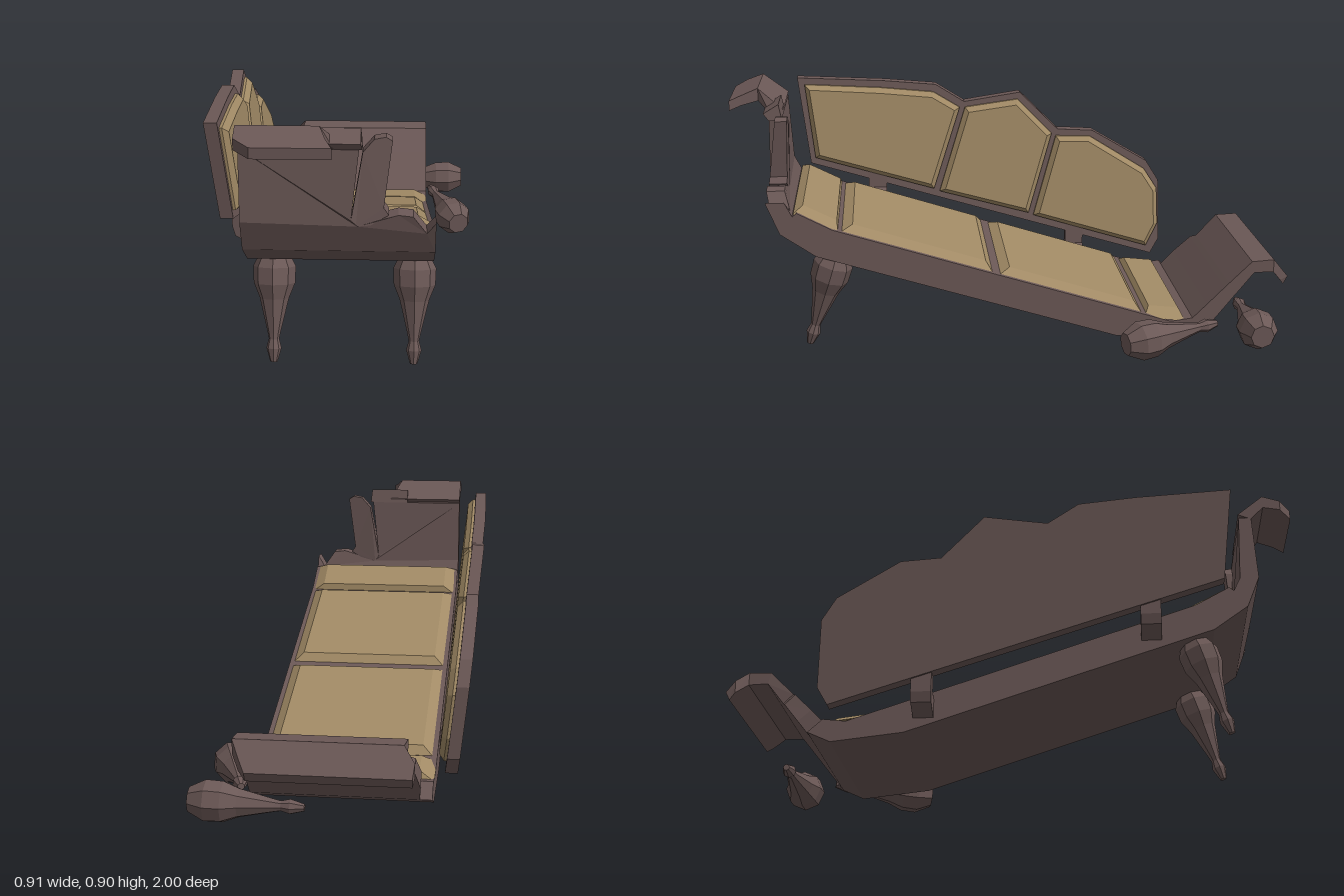
import * as THREE from 'three';

const wood = new THREE.MeshStandardMaterial({ color: 0x6b5856, flatShading: true });
const fabric = new THREE.MeshStandardMaterial({ color: 0xa18a65, flatShading: true });

function add(parent, name, geometry, material) {
  const mesh = new THREE.Mesh(geometry, material);
  mesh.name = name;
  parent.add(mesh);
  return mesh;
}

const shapeOf = (pts) => new THREE.Shape(pts.map(([x, y]) => new THREE.Vector2(x, y)));

// Move every vertex of a geometry by a rule
function warp(geometry, rule) {
  const p = geometry.attributes.position;
  const v = new THREE.Vector3();
  for (let i = 0; i < p.count; i++) {
    rule(v.fromBufferAttribute(p, i));
    p.setXYZ(i, v.x, v.y, v.z);
  }
  geometry.computeVertexNormals();
  return geometry;
}

// Side profile of [z, y] points, extruded along x
function sideExtrude(pts, x0, x1, bevel = 0) {
  const g = new THREE.ExtrudeGeometry(shapeOf(pts.map(([z, y]) => [-z, y])), {
    depth: x1 - x0 - bevel, bevelEnabled: bevel > 0, bevelThickness: bevel,
    bevelSize: bevel, bevelOffset: -bevel, bevelSegments: 1,
  });
  return g.rotateY(Math.PI / 2).translate(x0, 0, 0);
}

// Board through sections [outer z, outer y, inner z, inner y, x start, x end]
function strip(sections) {
  const pos = [], index = [];
  const back = sections[0][0] < 0;
  const quad = (a, b, c, d) => index.push(...(back ? [a, c, b, a, d, c] : [a, b, c, a, c, d]));
  sections.forEach(([zo, yo, zi, yi, x0, x1], i) => {
    pos.push(x0, yo, zo, x1, yo, zo, x1, yi, zi, x0, yi, zi);
    if (i === 0) return;
    const n = i * 4, m = n - 4;
    for (let j = 0; j < 4; j++) {
      const k = (j + 1) % 4;
      quad(m + j, m + k, n + k, n + j);
    }
  });
  const e = pos.length / 3 - 4;
  quad(3, 2, 1, 0);
  quad(e, e + 1, e + 2, e + 3);
  const g = new THREE.BufferGeometry();
  g.setAttribute('position', new THREE.Float32BufferAttribute(pos, 3));
  g.setIndex(index);
  g.computeVertexNormals();
  return g;
}

function buildFrame(group) {
  // Tilted seat base
  add(group, 'seatBase', sideExtrude([
    [0.82, 0.48], [0.7, 0.395], [-0.36, 0.053], [-0.61, 0.027], [-0.69, 0.064],
    [-0.64, 0.11], [-0.56, 0.1], [0.64, 0.49], [0.76, 0.555], [0.79, 0.53],
  ], -0.32, 0.28), wood);

  // Upright front end with a splintered edge
  const outerZ = (y) => (y < 0.59 ? 0.82 + (y - 0.48) * 0.41 : 0.865 - (y - 0.59) * 0.04);
  const wall = (pts, lean) => warp(
    new THREE.ExtrudeGeometry(shapeOf(pts), { depth: 1, bevelEnabled: false }),
    (v) => { v.z = outerZ(v.y) - (1 - v.z) * (0.075 - (v.y - 0.48) * 0.09) - lean * (v.y - 0.58); });
  add(group, 'frontEndPanel', wall([
    [-0.32, 0.48], [0.28, 0.48], [0.28, 0.595], [0.252, 0.555], [0.21, 0.615], [0.165, 0.62],
    [0.13, 0.61], [0.04, 0.58], [0.02, 0.6], [0.045, 0.83], [-0.32, 0.83], [-0.32, 0.59],
  ], 0), wood);
  add(group, 'frontSplinter', wall([
    [0.035, 0.58], [0.08, 0.585], [0.135, 0.618], [0.12, 0.64], [0.145, 0.845],
    [0.125, 0.857], [0.09, 0.85], [0.055, 0.81], [0.02, 0.6],
  ], 0.1), wood);

  // Curled top of the front end
  add(group, 'frontScroll', strip([
    [0.855, 0.825, 0.81, 0.845, -0.32, -0.03], [0.9, 0.87, 0.9, 0.915, -0.32, -0.07],
    [0.96, 0.858, 0.96, 0.894, -0.32, -0.05], [1, 0.845, 1, 0.88, -0.27, -0.03],
  ]), wood);
  add(group, 'frontScrollStump', strip([
    [0.855, 0.825, 0.81, 0.83, -0.1, 0.055], [0.875, 0.85, 0.82, 0.883, -0.1, 0.05],
  ]), wood);

  // Fallen back end with a jagged side
  add(group, 'backEndPanel', strip([
    [-0.61, 0.027, -0.58, 0.1, -0.32, 0.28], [-0.69, 0.064, -0.64, 0.11, -0.28, 0.28],
    [-0.735, 0.12, -0.69, 0.16, -0.285, 0.28], [-0.79, 0.19, -0.755, 0.226, -0.27, 0.28],
    [-0.803, 0.206, -0.77, 0.241, -0.24, 0.28], [-0.86, 0.278, -0.85, 0.32, -0.255, 0.28],
    [-0.93, 0.278, -0.93, 0.325, -0.25, 0.28], [-0.965, 0.235, -0.967, 0.28, -0.285, 0.255],
    [-0.985, 0.21, -1, 0.24, -0.28, 0.23],
  ]), wood);
}

// Pad with a narrower top, lying on the line between two [z, y] points
function seatPad(group, name, [z0, y0], [z1, y1], height, inset, endInset) {
  const length = Math.hypot(z1 - z0, y1 - y0);
  const g = warp(new THREE.BoxGeometry(0.6, height, length), (v) => {
    if (v.y > 0) {
      v.x -= Math.sign(v.x) * inset;
      v.z -= Math.sign(v.z) * endInset;
    }
  });
  const pad = add(group, name, g, fabric);
  pad.position.set(-0.02, (y0 + y1) / 2 + height / 2, (z0 + z1) / 2);
  pad.rotation.x = -Math.atan2(y1 - y0, z1 - z0);
}

function buildBackrest(group) {
  // Lean outwards with height above the sloping lower edge
  const lean = (g) => warp(g, (v) => { v.x -= 0.11 * (v.y - 0.55 - (v.z - 0.74) * 0.311); });
  add(group, 'backrestFrame', lean(sideExtrude([
    [0.78, 0.88], [0.45, 0.86], [0.25, 0.84], [0.14, 0.77], [-0.08, 0.8], [-0.23, 0.65],
    [-0.37, 0.64], [-0.59, 0.51], [-0.64, 0.43], [-0.645, 0.19], [-0.61, 0.13], [0.74, 0.55],
  ], -0.397, -0.355)), wood);
  const pads = [
    [[0.753, 0.855], [0.46, 0.835], [0.26, 0.813], [0.158, 0.75], [0.265, 0.433], [0.722, 0.572]],
    [[0.137, 0.75], [-0.07, 0.775], [-0.205, 0.636], [-0.11, 0.32], [0.243, 0.422]],
    [[-0.222, 0.625], [-0.357, 0.62], [-0.58, 0.48], [-0.632, 0.4], [-0.637, 0.255],
      [-0.59, 0.165], [-0.13, 0.31]],
  ];
  pads.forEach((p, i) => add(group, 'backrestPad' + (i + 1), lean(sideExtrude(p, -0.362, -0.328, 0.018)), fabric));

  // Brackets joining backrest and base
  for (const [y, z] of [[0.36, 0.45], [0.1, -0.33]]) {
    const g = new THREE.ExtrudeGeometry(shapeOf([
      [-0.39, 0.17], [-0.39, 0.07], [-0.38, 0.035], [-0.3, -0.008], [-0.3, 0.058],
      [-0.35, 0.085], [-0.356, 0.17],
    ]), { depth: 0.07, bevelEnabled: false });
    add(group, 'backrestBracket', g.translate(0, y, z), wood);
  }
}

// Turned leg running from its thin tip to its thick top
function leg(group, name, tip, top) {
  const profile = [[0, 0], [0.012, 0], [0.025, 0.045], [0.017, 0.075], [0.021, 0.095],
    [0.048, 0.21], [0.068, 0.26], [0.07, 0.315], [0.042, 0.37], [0, 0.37]];
  const mesh = add(group, name, new THREE.LatheGeometry(profile.map(([r, h]) => new THREE.Vector2(r, h)), 8), wood);
  const start = new THREE.Vector3(...tip);
  mesh.position.copy(start);
  mesh.quaternion.setFromUnitVectors(new THREE.Vector3(0, 1, 0),
    new THREE.Vector3(...top).sub(start).normalize());
}

export function createModel() {
  const group = new THREE.Group();
  group.name = 'brokenSofa';
  buildFrame(group);

  // Seat upholstery
  seatPad(group, 'seatPadFront', [0.07, 0.293], [0.62, 0.473], 0.035, 0.05, 0.045);
  seatPad(group, 'seatPadBack', [-0.47, 0.117], [0.07, 0.293], 0.035, 0.05, 0.045);
  seatPad(group, 'seatPadFrontEnd', [0.615, 0.472], [0.765, 0.55], 0.03, 0.05, 0.02);
  seatPad(group, 'seatPadBackEnd', [-0.615, 0.1], [-0.465, 0.118], 0.03, 0.05, 0.02);

  buildBackrest(group);

  // Two standing legs and two that have come off
  for (const x of [-0.238, 0.22]) leg(group, 'frontLeg', [x, 0.045, 0.74], [x, 0.4, 0.628]);
  leg(group, 'looseLegNear', [0.3, 0.095, -0.725], [0.41, 0.075, -0.37]);
  leg(group, 'looseLegFar', [0.068, 0.085, -0.86], [0.435, 0.095, -0.857]);
  return group;
}
